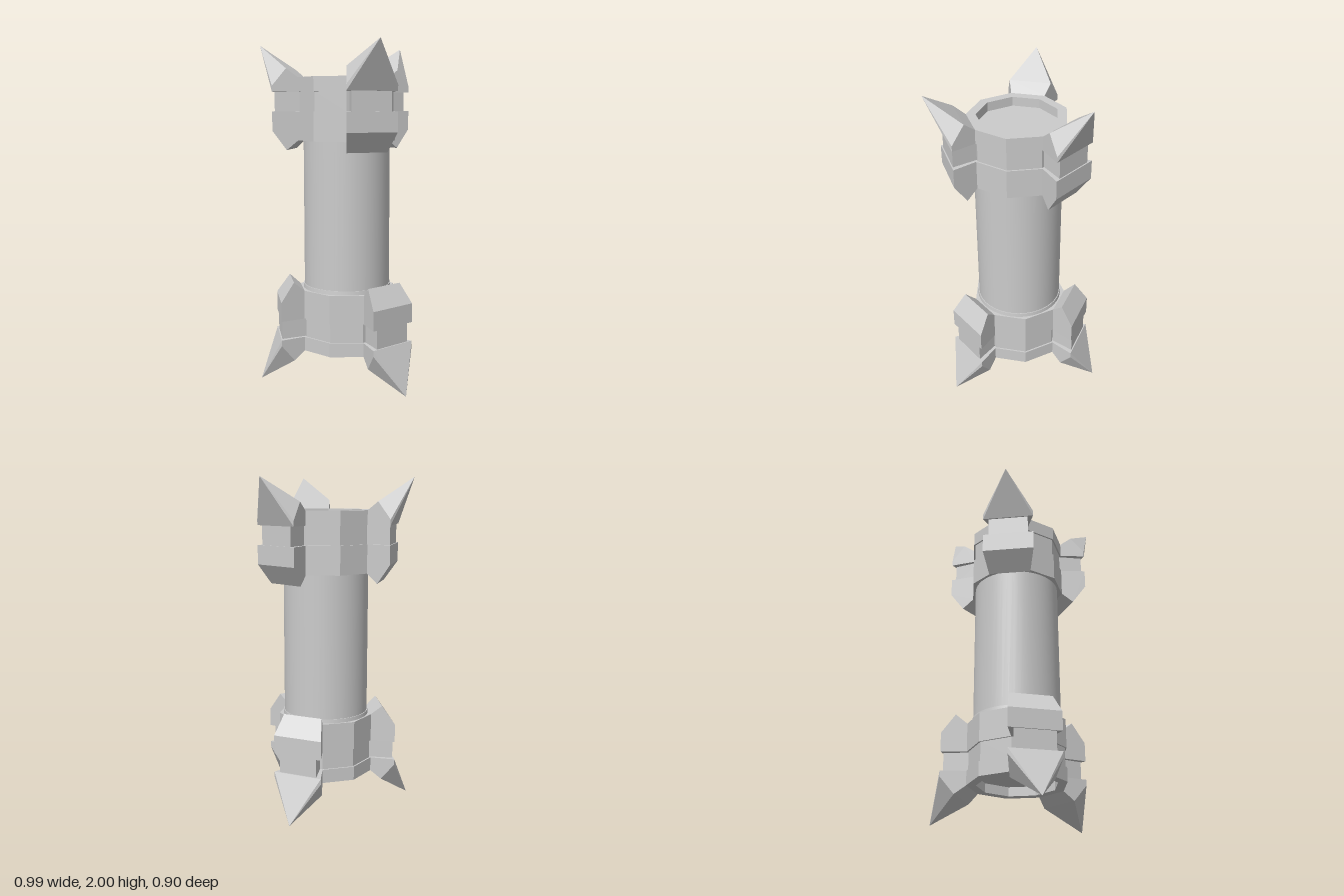
import * as THREE from 'three';
import { ConvexGeometry } from 'three/addons/geometries/ConvexGeometry.js';

const DEG = Math.PI / 180;
const WIDEN = Math.tan(20 * DEG); // half-width per radius of one nine-gon face
const flat = new THREE.MeshStandardMaterial({ color: 0xcccccc, flatShading: true });
const smooth = new THREE.MeshStandardMaterial({ color: 0xcccccc });

function add(parent, name, geometry, material) {
  const mesh = new THREE.Mesh(geometry, material);
  mesh.name = name;
  parent.add(mesh);
  return mesh;
}

// Convex block from [radius, y, halfWidth] rows, pointing along +x
function block(rows) {
  const pts = [];
  for (const [r, y, h = r * WIDEN] of rows) {
    pts.push(new THREE.Vector3(r, y, h));
    if (h > 0) pts.push(new THREE.Vector3(r, y, -h));
  }
  return new ConvexGeometry(pts);
}

function makeCollar(name) {
  const collar = new THREE.Group();
  collar.name = name;

  // Nine-sided ring with a grooved band and a recessed end
  const profile = [
    [0.2, 1.443], [0.29, 1.443], [0.29, 1.613], [0.28, 1.613], [0.28, 1.726],
    [0.29, 1.726], [0.29, 1.81], [0.235, 1.81], [0.235, 1.755], [0, 1.755],
  ].map(([r, y]) => new THREE.Vector2(r, y));
  add(collar, 'collarRing', new THREE.LatheGeometry(profile, 9, 70 * DEG), flat);

  // Three claws, each growing out of one face of the ring
  const foot = block([[0.272, 1.443], [0.272, 1.613], [0.415, 1.613], [0.415, 1.5], [0.337, 1.386]]);
  const band = block([[0.25, 1.6, 0.075], [0.25, 1.74, 0.075], [0.408, 1.6, 0.118], [0.408, 1.74, 0.118]]);
  const spike = block([
    [0.272, 1.726], [0.272, 1.81], [0.337, 1.861], [0.527, 2, 0], [0.415, 1.76], [0.415, 1.726],
  ]);
  for (const angle of [-80, 40, 160]) {
    const claw = new THREE.Group();
    claw.name = 'claw';
    claw.rotation.y = -angle * DEG;
    add(claw, 'clawFoot', foot, flat);
    add(claw, 'clawBand', band, flat);
    add(claw, 'clawSpike', spike, flat);
    collar.add(claw);
  }
  return collar;
}

export function createModel() {
  const model = new THREE.Group();
  model.name = 'clawedPillar';
  const body = new THREE.Group();
  body.name = 'pillar';
  body.position.z = 0.0615;
  model.add(body);

  // Round shaft with a thin seat ring at its base
  add(body, 'shaft', new THREE.CylinderGeometry(0.257, 0.257, 1, 48, 1, true), smooth).position.y = 1;
  add(body, 'seatRing', new THREE.CylinderGeometry(0.262, 0.266, 0.04, 48), smooth).position.y = 0.56;

  // Upper collar, and the same collar turned upside down
  body.add(makeCollar('upperCollar'));
  const lower = makeCollar('lowerCollar');
  lower.rotation.z = Math.PI;
  lower.position.y = 2;
  body.add(lower);

  return model;
}
